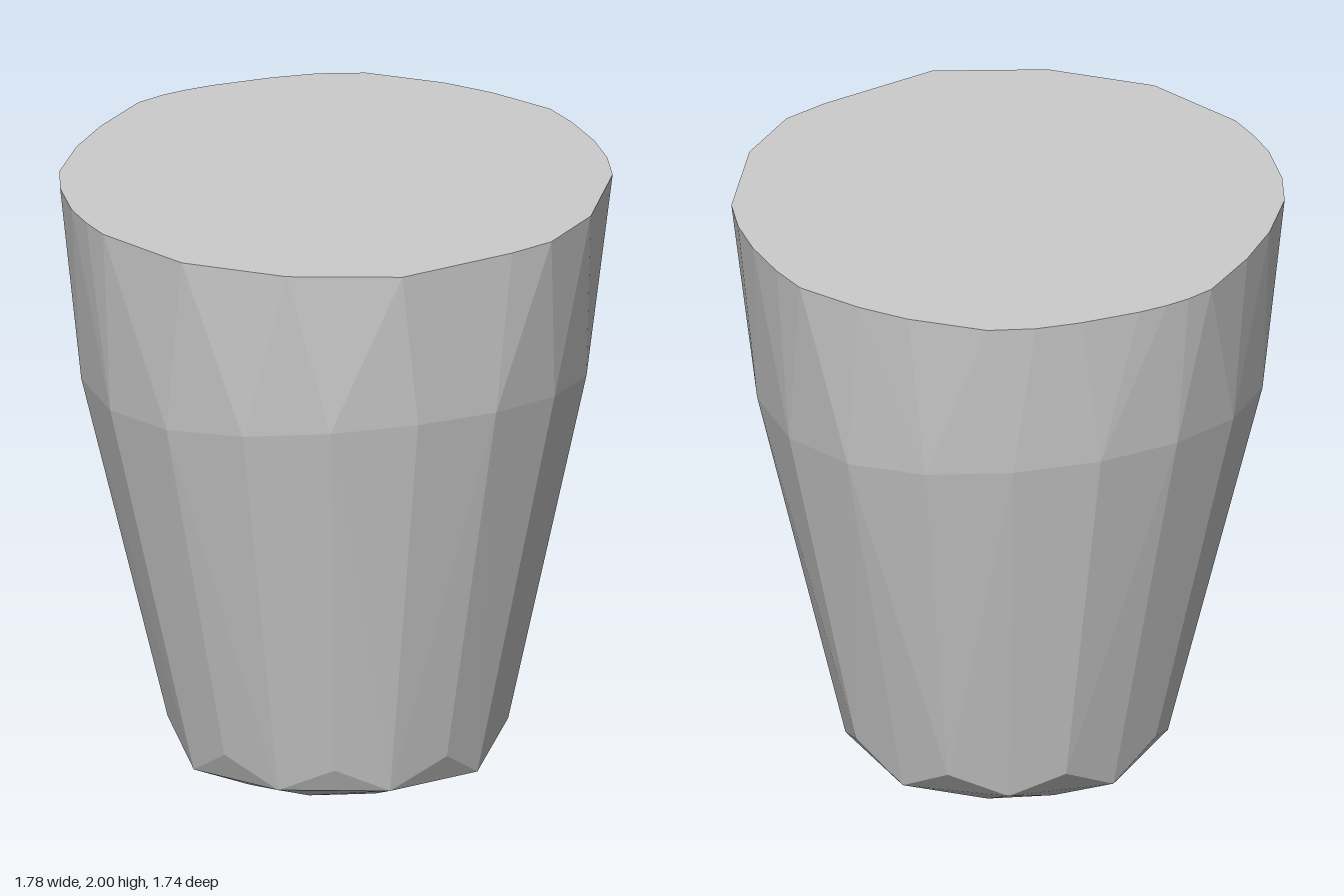
import * as THREE from 'three';
import { ConvexGeometry } from 'three/addons/geometries/ConvexGeometry.js';

// Ring of points; height may vary with the angle
function ring(count, rx, rz, cx, cz, height, phase = 0) {
  return Array.from({ length: count }, (_, i) => {
    const a = ((i + phase) / count) * Math.PI * 2;
    return new THREE.Vector3(cx + rx * Math.sin(a), height(a, i), cz + rz * Math.cos(a));
  });
}

export function createModel() {
  const group = new THREE.Group();
  group.name = 'taperedCup';
  const grey = new THREE.MeshStandardMaterial({ color: 0xcccccc });
  grey.name = 'light grey';

  // Irregular flat top outline as x, z pairs
  const rim = [
    [-0.07, 0.865], [0.33, 0.785], [0.48, 0.735], [0.67, 0.57], [0.85, 0.26], [0.88, 0.12],
    [0.887, -0.03], [0.87, -0.2], [0.84, -0.33], [0.71, -0.52], [0.59, -0.65], [0.38, -0.81],
    [0.23, -0.855], [0.08, -0.87], [-0.12, -0.87], [-0.22, -0.86], [-0.3, -0.843], [-0.39, -0.81],
    [-0.57, -0.66], [-0.7, -0.52], [-0.82, -0.34], [-0.865, -0.2], [-0.888, -0.02], [-0.88, 0.1],
    [-0.86, 0.21], [-0.7, 0.52], [-0.42, 0.74],
  ].map(([x, z]) => new THREE.Vector3(x, 2, z));

  const points = [
    ...rim,
    // Shoulder, higher at front and back than at the sides
    ...ring(18, 0.822, 0.828, 0, -0.01, (a) => 1.35 + 0.11 * Math.cos(a) ** 2),
    // Foot of the wall, alternating in height
    ...ring(9, 0.555, 0.55, 0.01, 0, () => 0.17, 0.5),
    ...ring(9, 0.525, 0.525, 0, 0.015, (a, i) => (i % 2 ? 0.06 : 0.085)),
    // Chamfered base
    ...ring(12, 0.41, 0.4, 0, -0.01, () => 0.018),
    ...ring(10, 0.32, 0.32, 0.03, -0.03, () => 0, 0.5),
  ];

  const body = new THREE.Mesh(new ConvexGeometry(points), grey);
  body.name = 'cupBody';
  group.add(body);
  return group;
}
